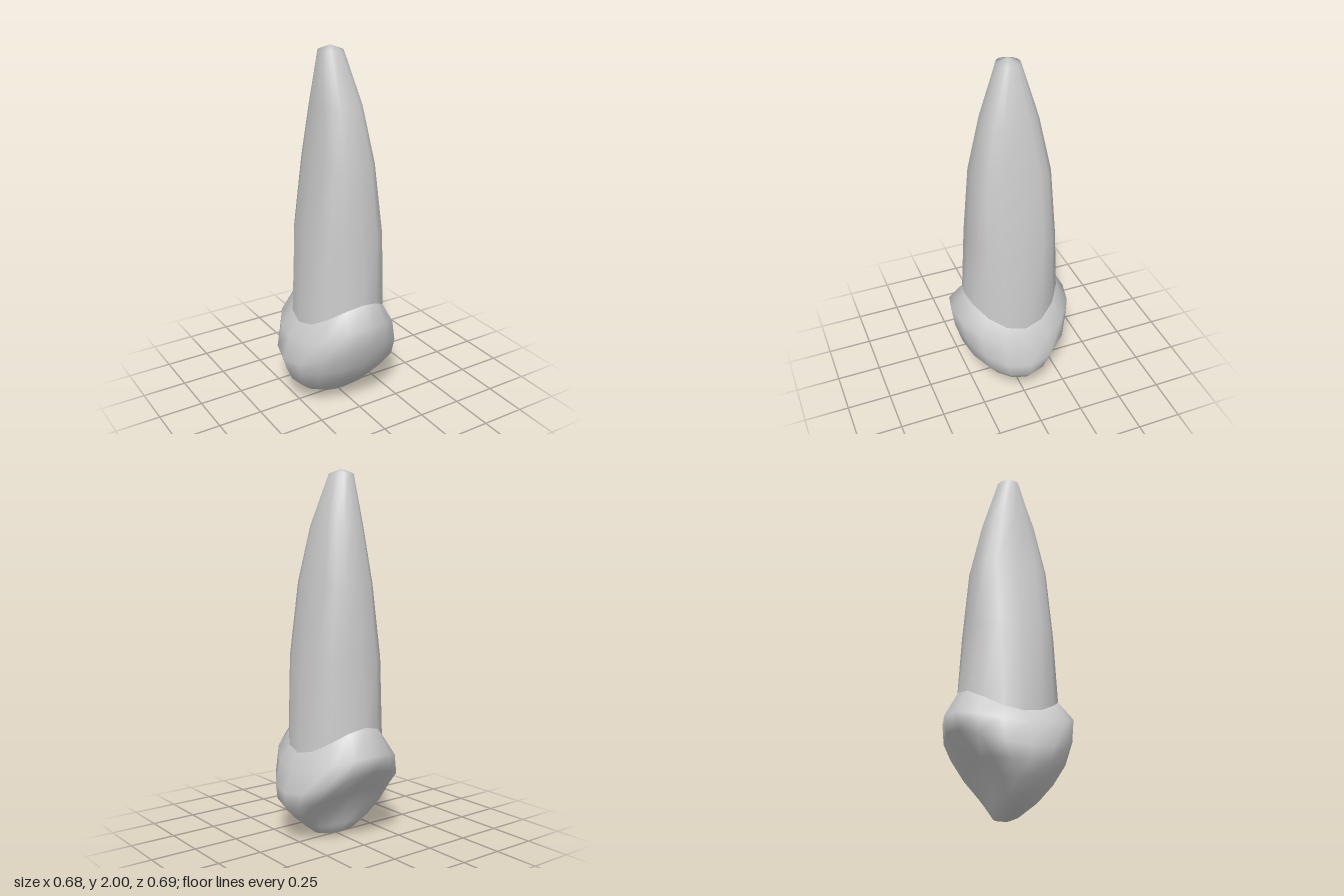
import * as THREE from 'three';
import { mergeVertices } from 'three/addons/utils/BufferGeometryUtils.js';

const SIDES = 16;
const power = (v, p) => Math.sign(v) * Math.pow(Math.abs(v), p);

// One cross-section: left/right extents, front/back depth, and a height that differs on the sides, front and back.
function ring({ l, r, f, b, ys, yf = ys, yb = yf, p = 1, dent = 0 }) {
  const points = [];
  for (let i = 0; i < SIDES; i++) {
    const a = (i / SIDES) * Math.PI * 2;
    const c = Math.cos(a), s = Math.sin(a);
    const x = THREE.MathUtils.lerp(l, r, (power(c, p) + 1) / 2);
    let z = (s > 0 ? f : b) * Math.pow(Math.abs(s), p);
    // hollow in the middle of the back face
    if (s < 0) z *= 1 - dent * Math.pow(s, 6);
    const y = THREE.MathUtils.lerp(ys, s > 0 ? yf : yb, s * s);
    points.push(x, y, z);
  }
  return points;
}

// A ring shrunk to one point, to close an end
const tip = (x, y, z) => Array.from({ length: SIDES }, () => [x, y, z]).flat();

// Skin a stack of rings from bottom to top with smooth normals
function loft(rings) {
  const index = [];
  for (let k = 0; k < rings.length - 1; k++) {
    for (let i = 0; i < SIDES; i++) {
      const a = k * SIDES + i, b = k * SIDES + ((i + 1) % SIDES);
      index.push(a, a + SIDES, b, b, a + SIDES, b + SIDES);
    }
  }
  const g = new THREE.BufferGeometry();
  g.setAttribute('position', new THREE.Float32BufferAttribute(rings.flat(), 3));
  g.setIndex(index);
  const merged = mergeVertices(g, 1e-5);
  merged.computeVertexNormals();
  return merged;
}

export function createModel() {
  const group = new THREE.Group();
  group.name = 'tooth';
  const material = new THREE.MeshStandardMaterial({ color: 0xcccccc, roughness: 0.7 });
  const neck = ring({ l: -0.245, r: 0.257, f: 0.27, b: -0.27, ys: 0.5, yf: 0.65 });

  // Crown: biting edge up to the scalloped neck line, hollow on the back
  const crown = new THREE.Mesh(loft([
    tip(0.01, 0, 0),
    ring({ l: -0.13, r: 0.14, f: 0.06, b: -0.06, ys: 0.03, yf: 0.025 }),
    ring({ l: -0.225, r: 0.205, f: 0.14, b: -0.085, ys: 0.08, yf: 0.09, yb: 0.08 }),
    ring({ l: -0.295, r: 0.285, f: 0.215, b: -0.145, ys: 0.15, yf: 0.175, yb: 0.18, dent: 0.25 }),
    ring({ l: -0.325, r: 0.34, f: 0.29, b: -0.23, ys: 0.22, yf: 0.29, yb: 0.28, dent: 0.22 }),
    ring({ l: -0.342, r: 0.342, f: 0.33, b: -0.33, ys: 0.29, yf: 0.42 }),
    ring({ l: -0.31, r: 0.305, f: 0.348, b: -0.345, ys: 0.42, yf: 0.55, yb: 0.51 }),
    neck,
  ]), material);
  crown.name = 'crown';

  // Root: slightly squared section tapering to a blunt, leaning apex
  const root = new THREE.Mesh(loft([
    neck,
    ring({ l: -0.21, r: 0.225, f: 0.24, b: -0.24, ys: 1.0, p: 0.75 }),
    ring({ l: -0.148, r: 0.162, f: 0.21, b: -0.21, ys: 1.4, p: 0.65 }),
    ring({ l: -0.122, r: 0.115, f: 0.145, b: -0.15, ys: 1.7, p: 0.75 }),
    ring({ l: -0.098, r: 0.035, f: 0.05, b: -0.073, ys: 1.975, p: 0.95 }),
    tip(-0.032, 2, -0.01),
  ]), material);
  root.name = 'root';

  group.add(crown, root);
  return group;
}
